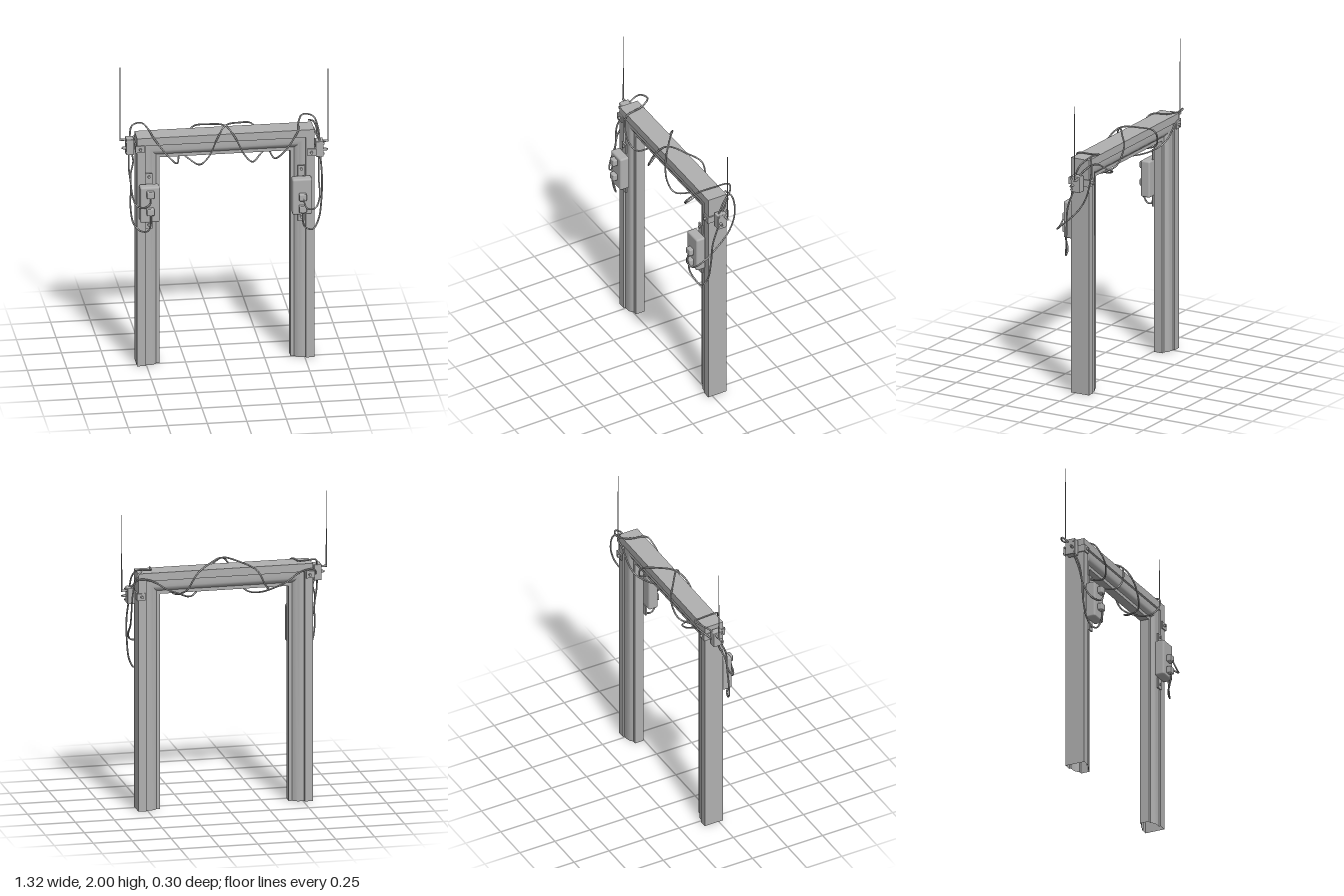
import * as THREE from 'three';
import { toCreasedNormals } from 'three/addons/utils/BufferGeometryUtils.js';
import { RoundedBoxGeometry } from 'three/addons/geometries/RoundedBoxGeometry.js';

const grey = new THREE.MeshStandardMaterial({ color: 0xb0b0b0, side: THREE.DoubleSide });
grey.name = 'plain grey';

function add(parent, name, geometry, x = 0, y = 0, z = 0) {
  const mesh = new THREE.Mesh(geometry, grey);
  mesh.name = name;
  mesh.position.set(x, y, z);
  parent.add(mesh);
  return mesh;
}

const box = (w, h, d) => new THREE.BoxGeometry(w, h, d);
const rodX = (r, l) => new THREE.CylinderGeometry(r, r, l, 10).rotateZ(Math.PI / 2);
const rodZ = (r, l) => new THREE.CylinderGeometry(r, r, l, 10).rotateX(Math.PI / 2);

// Hollow moulded frame: one profile mitred up a leg, across and down again
function frameGeometry() {
  const half = [[0, 0.065], [0.052, 0.065], [0.055, 0.054], [0.075, 0.054], [0.095, 0.051],
    [0.11, 0.044], [0.12, 0.034], [0.125, 0.03], [0.147, 0.03]];
  const profile = [...half, ...half.slice().reverse().map(([d, h]) => [d, -h])];
  const stations = [
    d => [-0.56 + d, 0], d => [-0.56 + d, 1.545 - d],
    d => [0.56 - d, 1.545 - d], d => [0.56 - d, 0],
  ];
  const n = profile.length, pos = [], index = [];
  for (const at of stations) {
    for (const [d, h] of profile) pos.push(...at(d), h - 0.035);
  }
  for (let s = 0; s < 3; s++) {
    for (let i = 0; i < n; i++) {
      const a = s * n + i, b = s * n + (i + 1) % n;
      index.push(a, a + n, b, b, a + n, b + n);
    }
  }
  // Reversed pairs keep the outside facing out
  for (let i = 0; i < index.length; i += 3) {
    [index[i + 1], index[i + 2]] = [index[i + 2], index[i + 1]];
  }
  const g = new THREE.BufferGeometry();
  g.setAttribute('position', new THREE.Float32BufferAttribute(pos, 3));
  g.setIndex(index);
  return toCreasedNormals(g, 0.5);
}

// Control box with lugs, screws and plugs
function controlBox(name, x, plugHeights) {
  const g = new THREE.Group();
  g.name = name;
  add(g, 'housing', new RoundedBoxGeometry(0.125, 0.24, 0.066, 3, 0.012), x, 1.12, 0.067);
  for (const y of [1.275, 0.97]) {
    add(g, 'mountingLug', box(0.042, 0.07, 0.01), x, y, 0.036);
    add(g, 'screw', rodZ(0.009, 0.01), x, y + (y > 1 ? 0.013 : -0.007), 0.045);
  }
  for (const y of plugHeights) {
    add(g, 'plug', new RoundedBoxGeometry(0.048, 0.046, 0.034, 2, 0.007), x, y, 0.113);
  }
  return g;
}

// Clamp, radio block and whip aerial, for side s = -1 or 1
function aerialUnit(name, s, y, top) {
  const g = new THREE.Group();
  g.name = name;
  add(g, 'clampSide', box(0.008, 0.046, 0.15), s * 0.567, y, -0.035);
  for (const [z, out] of [[0.035, 1], [-0.105, -1]]) {
    add(g, 'clampTab', box(0.055, 0.046, 0.008), s * 0.543, y, z);
    add(g, 'clampScrew', rodZ(0.009, 0.016), s * 0.54, y, z + out * 0.01);
  }
  add(g, 'radioBlock', new RoundedBoxGeometry(0.05, 0.105, 0.066, 2, 0.005), s * 0.599, y, -0.037);
  for (const k of [-1, 1]) add(g, 'blockScrew', rodX(0.007, 0.01), s * 0.625, y + k * 0.035, -0.012);
  add(g, 'sideSocket', rodX(0.009, 0.024), s * 0.632, y - 0.008, -0.02);
  add(g, 'socketTip', rodX(0.005, 0.012), s * 0.647, y - 0.008, -0.02);
  add(g, 'aerialArm', rodX(0.007, 0.042), s * 0.64, y + 0.035, -0.053);
  add(g, 'aerial', new THREE.CylinderGeometry(0.002, 0.004, top - y - 0.03, 8), s * 0.657, (top + y + 0.03) / 2, -0.053);
  return g;
}

function cable(parent, name, points) {
  const curve = new THREE.CatmullRomCurve3(points.map(p => new THREE.Vector3(...p)));
  add(parent, name, new THREE.TubeGeometry(curve, points.length * 5, 0.0055, 6));
}

export function createModel() {
  const model = new THREE.Group();
  model.name = 'wiredDoorFrame';
  add(model, 'doorFrame', frameGeometry());

  model.add(controlBox('rightControlBox', -0.487, [1.195, 1.08]));
  model.add(controlBox('leftControlBox', 0.475, [1.125, 1.045]));
  model.add(aerialUnit('rightAerialUnit', -1, 1.475, 2));
  model.add(aerialUnit('leftAerialUnit', 1, 1.395, 1.92));

  // Two mirrored cables wound round the lintel
  for (const s of [1, -1]) {
    cable(model, 'lintelCable', [
      [-0.6, 1.44, -0.02], [-0.595, 1.52, -0.06], [-0.572, 1.575, -0.12], [-0.51, 1.58, -0.145],
      [-0.475, 1.56, -0.08], [-0.455, 1.545, 0.04], [-0.42, 1.5, 0.07], [-0.365, 1.43, 0.082],
      [-0.31, 1.37, 0.045], [-0.285, 1.385, -0.05], [-0.25, 1.43, -0.12], [-0.19, 1.535, -0.14],
      [-0.1, 1.575, -0.075], [0, 1.59, 0], [0.055, 1.53, 0.05], [0.11, 1.42, 0.07],
      [0.165, 1.355, 0.045], [0.23, 1.365, -0.05], [0.3, 1.405, -0.12], [0.38, 1.44, -0.13],
      [0.48, 1.5, -0.12], [0.56, 1.51, -0.11], [0.595, 1.45, -0.05],
    ].map(([x, y, z]) => [s * x, y, z]));
  }

  // Cables hanging from the radio blocks to the control boxes
  cable(model, 'rightUpperCable', [
    [-0.487, 1.19, 0.125], [-0.49, 1.14, 0.125], [-0.53, 1.11, 0.12], [-0.575, 1.12, 0.09],
    [-0.597, 1.2, 0.045], [-0.6, 1.3, 0.02], [-0.58, 1.38, -0.01], [-0.59, 1.44, -0.03],
  ]);
  cable(model, 'rightLowerCable', [
    [-0.487, 1.07, 0.125], [-0.485, 1, 0.115], [-0.5, 0.94, 0.09], [-0.54, 0.935, 0.075],
    [-0.585, 0.98, 0.06], [-0.605, 1.1, 0.045], [-0.6, 1.23, 0.035], [-0.612, 1.35, 0.02], [-0.605, 1.44, -0.02],
  ]);
  cable(model, 'leftUpperCable', [
    [0.475, 1.12, 0.125], [0.5, 1.06, 0.145], [0.55, 1.055, 0.135], [0.585, 1.1, 0.08],
    [0.595, 1.2, -0.03], [0.605, 1.3, -0.1], [0.605, 1.42, -0.135], [0.58, 1.53, -0.13], [0.54, 1.56, -0.1],
  ]);
  cable(model, 'leftLowerCable', [
    [0.475, 1.04, 0.125], [0.475, 0.97, 0.115], [0.495, 0.91, 0.09], [0.545, 0.89, 0.075],
    [0.585, 0.95, 0.05], [0.605, 1.1, 0.035], [0.608, 1.23, 0.025], [0.603, 1.36, -0.02],
  ]);
  return model;
}
